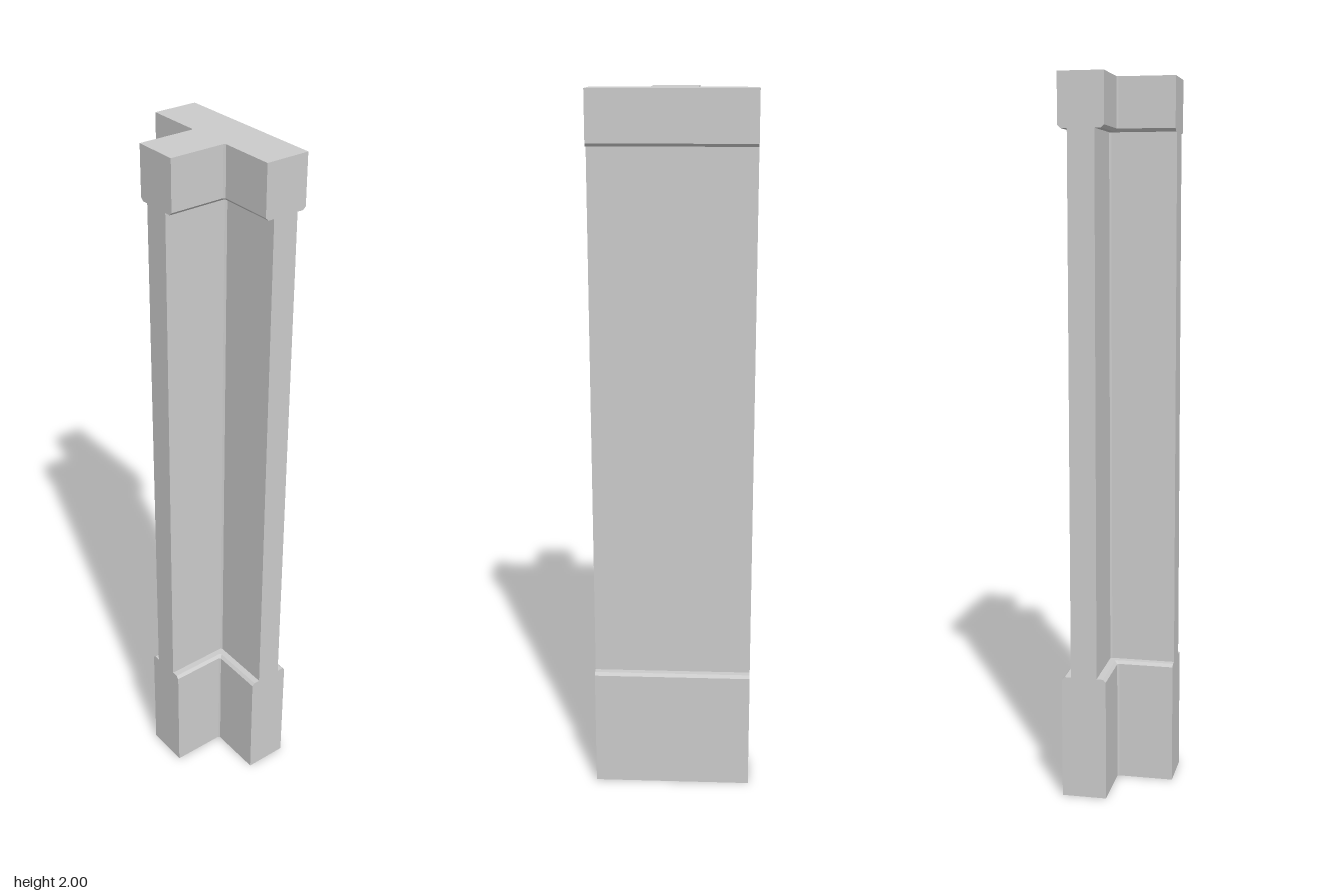
import * as THREE from 'three';

// T-shaped section as [x, z] points; inset thins the flange in x and the web in z
function section(inset) {
  const outer = 0.144 - inset, inner = 0.018 + inset, web = 0.064 - inset;
  const end = -0.144, wide = 0.226, c = 0.005;
  return [
    [outer, wide], [outer, -wide], [inner, -wide],
    [inner, -web - c], [inner - c, -web], [end, -web],
    [end, web], [inner - c, web], [inner, web + c], [inner, wide],
  ];
}

// Skins a stack of [y, inset] levels, with an optional flat cap at either end
function loft(name, levels, { bottom = false, top = false } = {}) {
  const pos = [];
  const rings = levels.map(([y, inset]) => section(inset).map(([x, z]) => [x, y, z]));
  const tri = (a, b, c) => pos.push(...a, ...b, ...c);
  for (let i = 0; i < rings.length - 1; i++) {
    const lo = rings[i], hi = rings[i + 1];
    lo.forEach((p, j) => {
      const k = (j + 1) % lo.length;
      tri(p, lo[k], hi[k]);
      tri(p, hi[k], hi[j]);
    });
  }
  const cap = (ring, up) => {
    const flat = ring.map(([x, , z]) => new THREE.Vector2(x, z));
    for (const [a, b, c] of THREE.ShapeUtils.triangulateShape(flat, [])) {
      // Order the corners so the cap faces outward
      const [A, B, C] = [flat[a], flat[b], flat[c]];
      const facesDown = (B.x - A.x) * (C.y - A.y) - (B.y - A.y) * (C.x - A.x) > 0;
      if (facesDown === up) tri(ring[a], ring[c], ring[b]);
      else tri(ring[a], ring[b], ring[c]);
    }
  };
  if (bottom) cap(rings[0], false);
  if (top) cap(rings[rings.length - 1], true);

  const geometry = new THREE.BufferGeometry();
  geometry.setAttribute('position', new THREE.Float32BufferAttribute(pos, 3));
  geometry.computeVertexNormals();
  const mesh = new THREE.Mesh(
    geometry,
    new THREE.MeshStandardMaterial({ color: 0xcccccc, flatShading: true }),
  );
  mesh.name = name;
  return mesh;
}

export function createModel() {
  const group = new THREE.Group();
  group.name = 'pillar';
  const recess = 0.026, bevel = 0.008;
  const baseTop = 0.351, capitalBottom = 1.854;

  // Tall base with a bevelled upper edge and a ledge
  group.add(loft('base', [
    [0, 0], [baseTop - bevel, 0], [baseTop, bevel], [baseTop, recess],
  ], { bottom: true }));

  // Recessed shaft
  group.add(loft('shaft', [[baseTop, recess], [capitalBottom, recess]]));

  // Short capital with a bevelled lower edge
  group.add(loft('capital', [
    [capitalBottom, recess], [capitalBottom, bevel], [capitalBottom + bevel, 0], [2, 0],
  ], { top: true }));

  return group;
}
